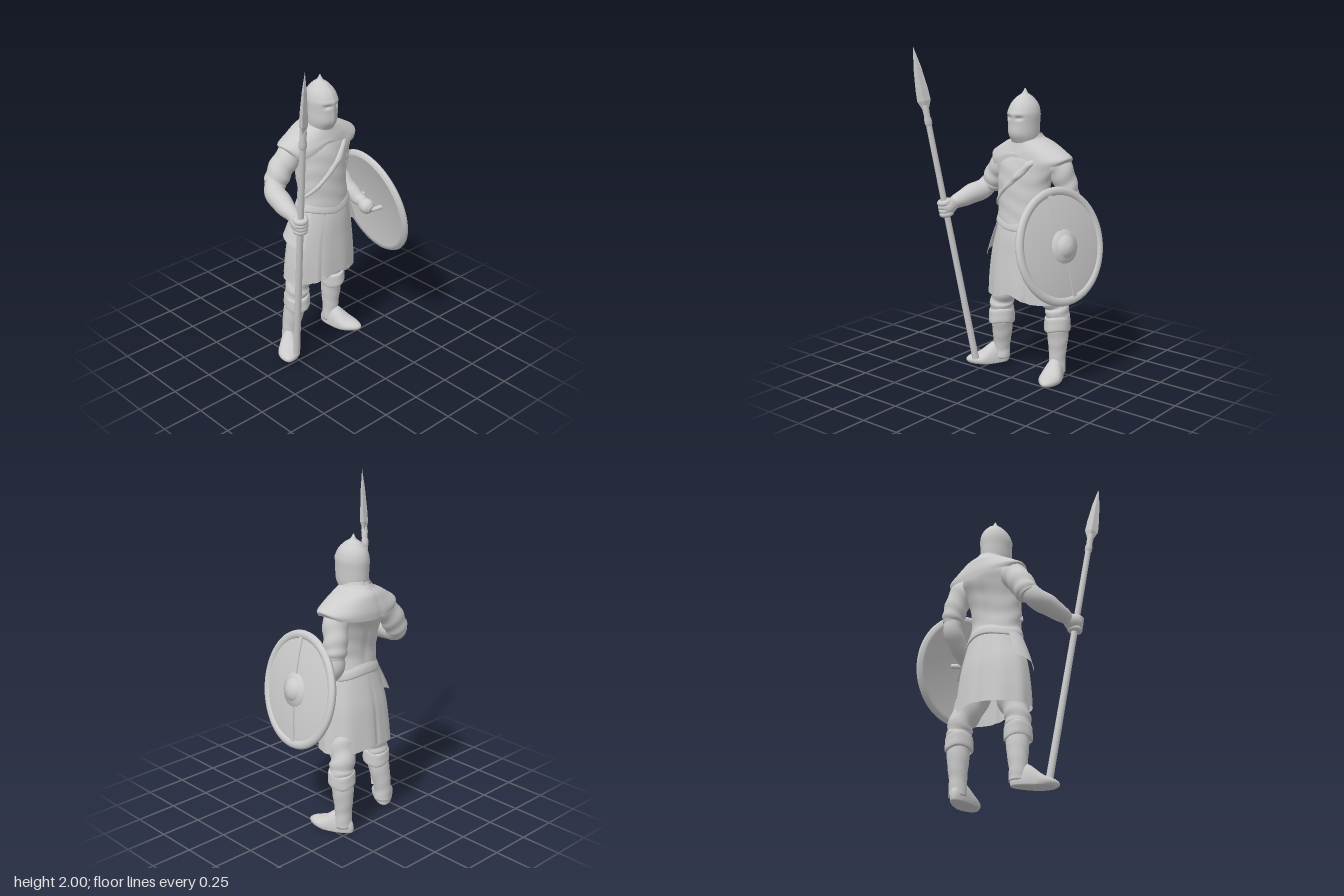
import * as THREE from 'three';

const V = (x, y, z) => new THREE.Vector3(x, y, z);
const mat = new THREE.MeshStandardMaterial({ color: 0xcccccc, side: THREE.DoubleSide });
const flat = new THREE.MeshStandardMaterial({ color: 0xcccccc, flatShading: true });
const bump = (v, c, w) => Math.exp(-(((v - c) / w) ** 2));

function add(parent, name, geo, material = mat) {
  const m = new THREE.Mesh(geo, material);
  m.name = name;
  parent.add(m);
  return m;
}

// Surface through rows of points; closed rows share their seam
function grid(rows, closed = true) {
  const n = rows[0].length, index = [];
  for (let i = 0; i < rows.length - 1; i++)
    for (let j = 0; j < (closed ? n : n - 1); j++) {
      const k = (j + 1) % n, a = i * n + j, b = i * n + k, c = a + n, d = b + n;
      index.push(a, c, b, b, c, d);
    }
  const g = new THREE.BufferGeometry().setFromPoints(rows.flat());
  g.setIndex(index);
  g.computeVertexNormals();
  return g;
}

// Stack of horizontal ellipses [x, y, z, rx, rz], listed upward.
// shape(angle, y, t) returns [radius factor, height offset]; the front is at angle PI / 2.
function loft(rings, { shape = () => [1, 0], seg = 64, steps = 7, arc = null, caps = false } = {}) {
  const mid = new THREE.CatmullRomCurve3(rings.map(r => V(r[0], r[1], r[2])), false, 'catmullrom');
  const rad = new THREE.CatmullRomCurve3(rings.map(r => V(r[3], 0, r[4])), false, 'catmullrom');
  const n = (rings.length - 1) * steps, rows = [];
  for (let i = 0; i <= n; i++) {
    const t = i / n, c = mid.getPoint(t), r = rad.getPoint(t), row = [];
    for (let j = 0; j < (arc ? seg + 1 : seg); j++) {
      const a = arc ? arc[0] + (arc[1] - arc[0]) * j / seg : j / seg * Math.PI * 2 - Math.PI;
      const [s, dy] = shape(a, c.y, t);
      row.push(V(c.x + Math.cos(a) * r.x * s, c.y + dy, c.z + Math.sin(a) * r.z * s));
    }
    rows.push(row);
  }
  if (caps) {
    rows.unshift(rows[0].map(() => mid.getPoint(0)));
    rows.push(rows[0].map(() => mid.getPoint(1)));
  }
  return grid(rows, !arc);
}

// Round limb along points [x, y, z, radius], with optional wrinkles
function limb(pts, wrinkle = 0, seg = 24) {
  const curve = new THREE.CatmullRomCurve3(pts.map(p => V(p[0], p[1], p[2])), false, 'catmullrom');
  const radii = new THREE.CatmullRomCurve3(pts.map(p => V(p[3], 0, 0)), false, 'catmullrom');
  const n = (pts.length - 1) * 8, x = V(0, 0, 0), rows = [];
  let side = V(1, 0, 0);
  for (let i = 0; i <= n; i++) {
    const t = i / n, c = curve.getPoint(t), T = curve.getTangent(t);
    side = side.clone().addScaledVector(T, -side.dot(T)).normalize();
    x.crossVectors(T, side);
    const r = radii.getPoint(t).x;
    rows.push(Array.from({ length: seg }, (_, j) => {
      const a = j / seg * Math.PI * 2, s = r * (1 + wrinkle * Math.sin(t * 24 + 2 * Math.sin(a)));
      return c.clone().addScaledVector(side, Math.cos(a) * s).addScaledVector(x, -Math.sin(a) * s);
    }));
  }
  rows.unshift(rows[0].map(() => curve.getPoint(0)));
  rows.push(rows[0].map(() => curve.getPoint(1)));
  return grid(rows);
}

// Boot foot: sphere with a flat sole, tall at the instep and low at the toe
function foot(parent, name, heel, toe, sole) {
  const g = new THREE.SphereGeometry(1, 32, 24), p = g.attributes.position;
  const dx = toe[0] - heel[0], dz = toe[1] - heel[1], half = Math.hypot(dx, dz) / 2;
  for (let i = 0; i < p.count; i++) {
    const z = p.getZ(i), k = (z + 1) / 2;
    const wide = 0.055 + 0.016 * bump(k, 0.72, 0.25), high = 0.12 - 0.078 * THREE.MathUtils.smoothstep(k, 0.25, 0.75);
    p.setXYZ(i, p.getX(i) * wide, Math.max(0, p.getY(i) * high + 0.022), z * half);
  }
  g.computeVertexNormals();
  const m = add(parent, name, g);
  m.position.set((heel[0] + toe[0]) / 2, sole, (heel[1] + toe[1]) / 2);
  m.rotation.y = Math.atan2(dx, dz);
}

function leg(parent, side, hip, knee, ankle, heel, toe, sole) {
  const [kx, kz] = knee, [ax, az] = ankle;
  add(parent, side + 'Trousers', limb([[hip[0], 0.7, hip[1], 0.09], [(hip[0] + kx) / 2, 0.56, (hip[1] + kz) / 2, 0.088],
    [kx * 0.95, 0.46, kz, 0.072], [kx, 0.4, kz, 0.073], [kx, 0.33, kz, 0.062]], 0.05));
  const mx = (kx + ax) / 2, mz = (kz + az) / 2;
  add(parent, side + 'Boot', limb([[kx, 0.36, kz, 0.07], [mx, 0.24, mz - 0.005, 0.062], [ax, 0.13, az, 0.051], [ax, sole + 0.03, az, 0.052]], 0.015));
  // Folded boot top
  add(parent, side + 'BootCuff', loft([[kx, 0.3, kz, 0.065, 0.068], [kx, 0.31, kz, 0.077, 0.083], [kx, 0.35, kz, 0.078, 0.082],
    [kx, 0.385, kz, 0.075, 0.079], [kx, 0.395, kz, 0.06, 0.06]], { seg: 32, shape: a => [1 + 0.02 * Math.sin(a * 5), 0.01 * Math.sin(a * 2)] }));
  foot(parent, side + 'Foot', heel, toe, sole);
}

function buildShield() {
  const s = new THREE.Group(), dome = r => 0.028 * (1 - (r / 0.33) ** 2);
  s.name = 'shield';
  const radii = Array.from({ length: 15 }, (_, i) => i * 0.0235);
  const profile = [...radii.map(r => new THREE.Vector2(r, dome(r) - 0.022)), ...radii.toReversed().map(r => new THREE.Vector2(r, dome(r) + 0.004))];
  add(s, 'shieldBoard', new THREE.LatheGeometry(profile, 64));
  const rim = add(s, 'shieldRim', new THREE.TorusGeometry(0.316, 0.026, 12, 72));
  rim.rotation.x = Math.PI / 2;
  rim.scale.z = 0.75;
  const boss = [[0.1, 0.02], [0.096, 0.038], [0.07, 0.042], [0.062, 0.052], [0.045, 0.067], [0.022, 0.075], [0, 0.077]];
  add(s, 'shieldBoss', new THREE.LatheGeometry(boss.map(p => new THREE.Vector2(...p)), 40));
  // Vertical strap follows the dome
  const g = new THREE.BoxGeometry(0.62, 0.014, 0.03, 24, 1, 1), p = g.attributes.position;
  for (let i = 0; i < p.count; i++) p.setY(i, p.getY(i) + dome(p.getX(i)) + 0.005);
  g.computeVertexNormals();
  add(s, 'shieldStrap', g);
  add(s, 'shieldGrip', limb([[0, 0.01, -0.09, 0.014], [0, -0.05, -0.06, 0.014], [0, -0.055, 0.06, 0.014], [0, 0.01, 0.09, 0.014]], 0, 12));
  s.quaternion.setFromUnitVectors(V(0, 1, 0), V(1, 0.22, 0.15).normalize());
  s.position.set(0.361, 0.89, 0);
  return s;
}

function buildSpear() {
  const s = new THREE.Group(), base = V(-0.275, 0.065, 0.01), tip = V(-0.46, 2, 0.32), L = base.distanceTo(tip);
  s.name = 'spear';
  add(s, 'spearShaft', new THREE.CylinderGeometry(0.017, 0.021, 1.6, 16)).position.y = 0.8;
  const socket = [[0.016, 1.5], [0.022, 1.51], [0.022, 1.54], [0.018, 1.55], [0.02, 1.6], [0.014, 1.64]];
  add(s, 'spearSocket', new THREE.LatheGeometry(socket.map(p => new THREE.Vector2(...p)), 16));
  const blade = [[0.012, 1.58], [0.04, 1.65], [0.036, 1.72], [0.022, 1.85], [0.0, L]];
  const b = add(s, 'spearBlade', new THREE.LatheGeometry(blade.map(p => new THREE.Vector2(...p)), 4).toNonIndexed(), flat);
  b.scale.z = 0.6;
  b.rotation.y = 0.7;
  // Fingers curled around the shaft
  for (let i = 0; i < 4; i++) {
    const f = add(s, 'rightFinger', new THREE.TorusGeometry(0.027, 0.018, 10, 24));
    f.rotation.x = Math.PI / 2;
    f.position.y = 0.957 + i * 0.023;
  }
  s.quaternion.setFromUnitVectors(V(0, 1, 0), tip.sub(base).normalize());
  s.position.copy(base);
  return s;
}

export function createModel() {
  const man = new THREE.Group();
  man.name = 'spearman';
  const H = Math.PI / 2;

  // Helmet with eye slits, nose ridge and point
  add(man, 'helmet', loft([[0.025, 1.45, -0.1, 0.075, 0.085], [0.024, 1.5, -0.09, 0.083, 0.103], [0.024, 1.56, -0.09, 0.086, 0.106],
    [0.024, 1.62, -0.09, 0.088, 0.108], [0.024, 1.67, -0.093, 0.074, 0.09], [0.024, 1.71, -0.096, 0.043, 0.052],
    [0.024, 1.73, -0.098, 0.018, 0.021], [0.024, 1.76, -0.1, 0.002, 0.002]], { caps: true, seg: 96, steps: 14, shape: (a, y) => {
    const front = a - H, slit = bump(y, 1.597, 0.011) * (bump(front, 0.42, 0.24) + bump(front, -0.42, 0.24));
    const ridge = 0.03 * bump(front, 0, 0.09), brow = 0.03 * bump(y, 1.622, 0.012) * bump(front, 0, 1.1);
    return [1 - 0.12 * slit + ridge + brow, 0];
  } }));

  // Torso and neck
  add(man, 'tunic', loft([[0.03, 0.96, -0.09, 0.178, 0.128], [0.027, 1.02, -0.085, 0.167, 0.12], [0.022, 1.1, -0.085, 0.166, 0.116],
    [0.022, 1.22, -0.1, 0.173, 0.126], [0.03, 1.32, -0.125, 0.19, 0.138], [0.035, 1.39, -0.135, 0.165, 0.122],
    [0.03, 1.45, -0.13, 0.09, 0.09], [0.025, 1.53, -0.11, 0.065, 0.07]], { shape: (a, y) => [1 + 0.012 * Math.sin(y * 60 + 2.5 * Math.sin(a * 2)) - 0.05 * bump(a, -H, 0.15), 0] }));
  add(man, 'chestStrap', limb([[0.17, 1.37, -0.06, 0.02], [0.11, 1.32, -0.006, 0.022], [0.055, 1.26, 0.013, 0.023], [0.0, 1.21, 0.017, 0.019],
    [-0.08, 1.13, 0.004, 0.013], [-0.14, 1.06, -0.05, 0.01]], 0.1));
  add(man, 'belt', loft([[0.03, 0.945, -0.09, 0.178, 0.128], [0.03, 0.955, -0.09, 0.186, 0.134], [0.03, 0.985, -0.09, 0.179, 0.129], [0.03, 1.01, -0.09, 0.166, 0.116]],
    { shape: a => [1, 0.012 * Math.sin(a * 3)] }));

  // Shoulder mantle, sloping straight to the shoulder tips, with low corners and a lapel point
  add(man, 'mantle', loft([[0.04, 1.325, -0.145, 0.252, 0.142], [0.04, 1.36, -0.145, 0.268, 0.142], [0.04, 1.4, -0.142, 0.225, 0.134],
    [0.035, 1.44, -0.14, 0.155, 0.122], [0.028, 1.468, -0.13, 0.092, 0.106], [0.026, 1.49, -0.125, 0.075, 0.095]], { seg: 96, shape: (a, y, t) => {
    const hem = 1 - THREE.MathUtils.smoothstep(t, 0, 0.45);
    const dy = 0.02 * Math.abs(Math.cos(a)) ** 8 + 0.045 * bump(a, H + 0.12, 0.3) - 0.06 * bump(a, H - 0.3, 0.16) - 0.025 * bump(a, H + 0.85, 0.3) - 0.02 * bump(a, -H, 0.6);
    return [1 + 0.07 * Math.sin(2 * a) ** 2 * hem - 0.03 * bump(a, -H - 0.2, 0.07), dy * hem];
  } }));

  // Skirt with folds, slits and a front panel
  const skirt = [[0.02, 0.5, -0.115, 0.248, 0.168], [0.02, 0.62, -0.11, 0.24, 0.162], [0.022, 0.76, -0.105, 0.222, 0.152],
    [0.028, 0.88, -0.095, 0.194, 0.138], [0.03, 0.97, -0.09, 0.172, 0.122]];
  const folds = (a, t) => 1 + (1 - t) * (0.018 * Math.cos(a * 9 + 1) + 0.012 * Math.sin(a * 5));
  add(man, 'skirt', loft(skirt, { seg: 128, shape: (a, y, t) => {
    const slit = bump(a, -H - 0.12, 0.06) + bump(a, H - 0.46, 0.05) + bump(a, H + 0.46, 0.05);
    return [folds(a, t) - 0.07 * slit * (1 - t), (0.045 * bump(a, H, 0.35) + 0.02 * bump(a, -H, 0.5)) * (1 - t) ** 2];
  } }));
  add(man, 'skirtPanel', loft(skirt, { seg: 20, arc: [H - 0.43, H + 0.43], shape: (a, y, t) => [folds(a, t) + 0.035 - 0.02 * t, 0.05 * (1 - t) ** 2] }));
  // Flaps hanging from the belt over each hip
  const flap = [[0.022, 0.765, -0.1, 0.256, 0.172], [0.025, 0.86, -0.095, 0.222, 0.156], [0.03, 0.97, -0.09, 0.178, 0.128]];
  add(man, 'leftHipFlap', loft(flap, { seg: 20, arc: [-0.45, 0.55], shape: (a, y, t) => [1 - 0.03 * a * a, 0.04 * a * (1 - t)] }));
  add(man, 'rightHipFlap', loft(flap, { seg: 20, arc: [Math.PI - 0.6, Math.PI + 0.5], shape: (a, y, t) => [1, 0.04 * (a - Math.PI) * (1 - t)] }));

  // Arms with short sleeves
  add(man, 'rightSleeve', limb([[-0.11, 1.35, -0.14, 0.06], [-0.158, 1.31, -0.15, 0.074], [-0.222, 1.24, -0.16, 0.074],
    [-0.264, 1.17, -0.16, 0.07], [-0.284, 1.135, -0.155, 0.06]], 0.04));
  add(man, 'rightForearm', limb([[-0.268, 1.19, -0.16, 0.05], [-0.305, 1.125, -0.13, 0.06], [-0.335, 1.095, -0.03, 0.06],
    [-0.352, 1.07, 0.07, 0.045], [-0.358, 1.055, 0.12, 0.036], [-0.363, 1.05, 0.16, 0.04]], 0.025));
  add(man, 'rightHand', limb([[-0.355, 1.06, 0.1, 0.035], [-0.362, 1.05, 0.135, 0.049], [-0.366, 1.045, 0.17, 0.05], [-0.368, 1.042, 0.2, 0.03]]));
  add(man, 'leftSleeve', limb([[0.18, 1.35, -0.14, 0.06], [0.224, 1.31, -0.165, 0.074], [0.25, 1.22, -0.19, 0.07],
    [0.262, 1.15, -0.2, 0.067], [0.268, 1.11, -0.2, 0.058]], 0.04));
  add(man, 'leftForearm', limb([[0.26, 1.17, -0.2, 0.05], [0.266, 1.06, -0.2, 0.056], [0.273, 0.98, -0.14, 0.054],
    [0.287, 0.92, -0.06, 0.044], [0.292, 0.895, 0, 0.035]], 0.025));
  add(man, 'leftHand', limb([[0.292, 0.9, -0.02, 0.033], [0.292, 0.885, 0.015, 0.046], [0.294, 0.875, 0.045, 0.042], [0.295, 0.87, 0.065, 0.022]]));

  // Legs
  leg(man, 'left', [0.115, -0.12], [0.205, -0.19], [0.2, -0.2], [0.178, -0.262], [0.262, 0.02], 0);
  leg(man, 'right', [-0.07, -0.1], [-0.162, -0.11], [-0.19, -0.145], [-0.165, -0.185], [-0.345, 0.018], 0.022);

  man.add(buildShield(), buildSpear());
  return man;
}
